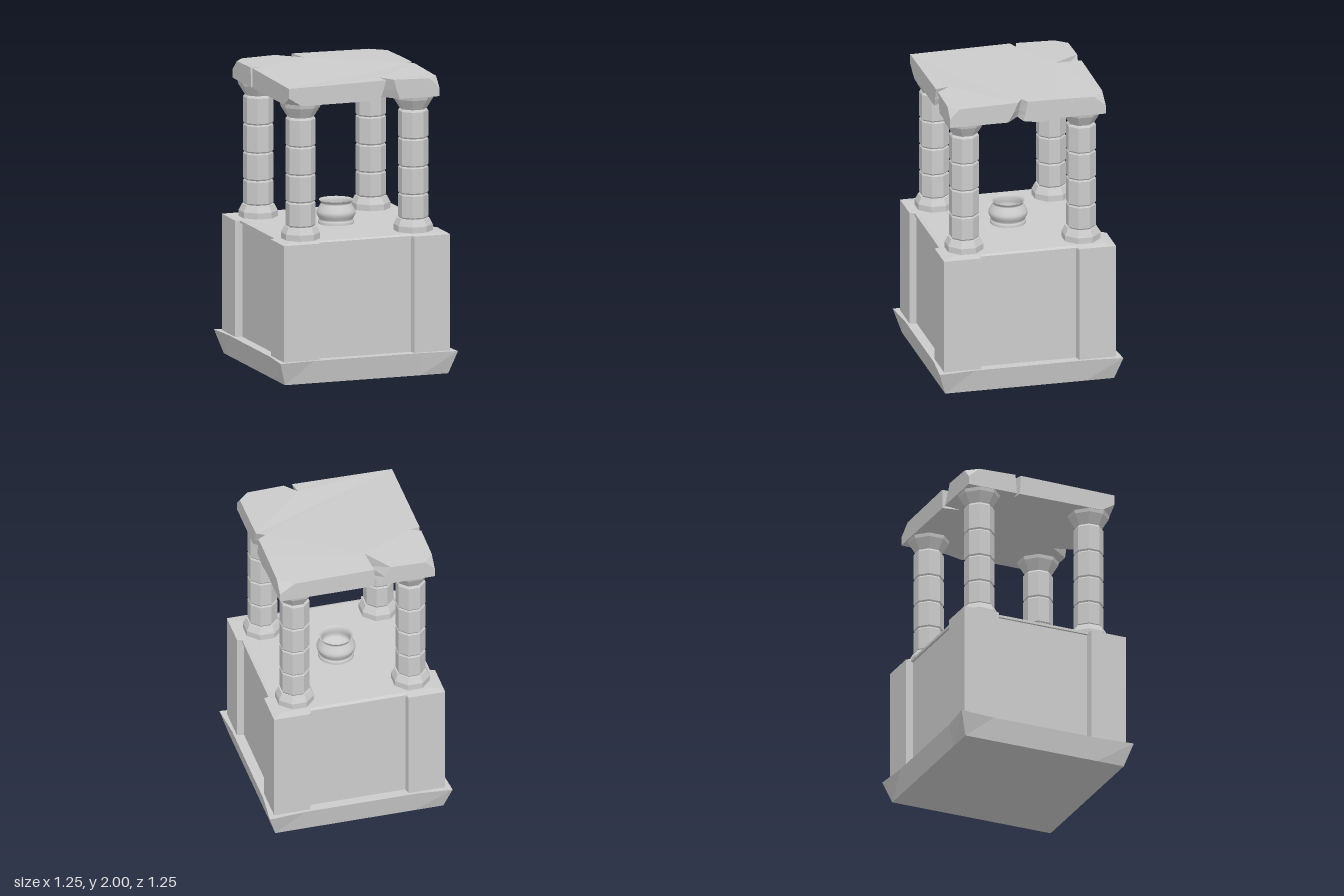
import * as THREE from 'three';

const flat = () => new THREE.MeshStandardMaterial({ color: 0xcccccc, flatShading: true });

// Closed solid through rings of [x, y, z] points, each ring running anticlockwise seen from above
function loft(rings) {
  const pos = [];
  const tri = (a, b, c) => {
    const [A, B, C] = [a, b, c].map((p) => new THREE.Vector3(...p));
    if (B.sub(A).cross(C.sub(A)).length() > 1e-8) pos.push(...a, ...b, ...c);
  };
  const n = rings[0].length;
  for (let r = 0; r + 1 < rings.length; r++) {
    const lo = rings[r], hi = rings[r + 1];
    for (let i = 0; i < n; i++) {
      const j = (i + 1) % n;
      tri(lo[i], lo[j], hi[j]);
      tri(lo[i], hi[j], hi[i]);
    }
  }
  const cap = (ring, up) => {
    const contour = ring.map(([x, , z]) => new THREE.Vector2(x, -z));
    for (const [a, b, c] of THREE.ShapeUtils.triangulateShape(contour, [])) {
      const [A, B, C] = [contour[a], contour[b], contour[c]];
      const ccw = (B.x - A.x) * (C.y - A.y) - (B.y - A.y) * (C.x - A.x) > 0;
      if (ccw === up) tri(ring[a], ring[b], ring[c]);
      else tri(ring[a], ring[c], ring[b]);
    }
  };
  cap(rings[0], false);
  cap(rings[rings.length - 1], true);
  const g = new THREE.BufferGeometry();
  g.setAttribute('position', new THREE.Float32BufferAttribute(pos, 3));
  g.computeVertexNormals();
  return g;
}

// Repeat the points of the front side round all four sides
function fourSides(side, y) {
  const ring = [];
  let pts = side;
  for (let k = 0; k < 4; k++) {
    ring.push(...pts.map(([x, z]) => [x, y, z]));
    pts = pts.map(([x, z]) => [z, -x]);
  }
  return ring;
}

function lathe(profile, sides, phi) {
  return new THREE.LatheGeometry(profile.map(([r, y]) => new THREE.Vector2(r, y)), sides, phi);
}

function roofGeometry() {
  const E = 0.53;
  // Each row: top point, bottom point, optional middle point (x, z)
  const c = [[E, E], [E, -E], [-E, -E], [-E, E]];
  const rows = [
    // front crack
    [[0.155, E], [0.11, E]], [[0.14, 0.44], [0.15, 0.4]], [[0.21, E], [0.25, E]],
    // front left corner, chipped on top
    [[0.46, E], c[0], c[0]], [[E, 0.465], c[0], c[0]],
    // left side crack and sagging lower edge
    [[E, 0.065], [E, 0.135]], [[0.475, 0.03], [0.44, 0.05]], [[E, 0], [E, 0.03]],
    [[E, -0.09], [E, -0.09]], [[E, -0.2], [E, -0.2]],
    // back left corner, chipped on top
    [[E, -0.45], c[1], c[1]], [[0.43, -E], c[1], c[1]],
    // back crack
    [[-0.115, -E], [-0.115, -E]], [[-0.1, -0.35], [-0.135, -0.41]], [[-0.23, -E], [-0.155, -E]],
    // back right corner, chipped on top
    [[-0.465, -E], c[2], c[2]], [[-E, -0.45], c[2], c[2]],
    // right side crack
    [[-E, -0.19], [-E, -0.18]], [[-0.455, -0.17], [-0.47, -0.17]], [[-E, -0.15], [-E, -0.16]],
    // front right corner, chipped below
    [c[3], [-E, 0.44], c[3]], [c[3], [-0.44, E], c[3]],
  ];
  const topY = (x, z) => 2.003 - 0.04 * (x * x + z * z);
  const bottom = rows.map(([, b]) => [b[0], b[0] === E && b[1] === -0.09 ? 1.838 : 1.858, b[1]]);
  const middle = rows.map(([t, b, m]) => {
    const p = m || [(t[0] + b[0]) / 2, (t[1] + b[1]) / 2];
    return [p[0], 1.915, p[1]];
  });
  const top = rows.map(([t]) => [t[0], topY(...t), t[1]]);
  return loft([bottom, middle, top]);
}

export function createModel() {
  const model = new THREE.Group();
  model.name = 'stoneShrine';
  const add = (name, geometry, material = flat()) => {
    const mesh = new THREE.Mesh(geometry, material);
    mesh.name = name;
    model.add(mesh);
    return mesh;
  };

  // Flared plinth with pointed corners
  const plinthSide = (corner, mid) => [[-corner, corner], [-0.38, mid], [0.38, mid]];
  add('plinth', loft([
    fourSides(plinthSide(0.575, 0.575), 0),
    fourSides(plinthSide(0.625, 0.604), 0.155),
  ]));

  // Block with corner piers, recessed panels and a small lip above them
  const H = 0.585;
  const bodySide = (d, h = H) => [[-h, h], [-0.335, h], [-0.325, d], [0.325, d], [0.335, h]];
  add('body', loft([
    fourSides(bodySide(0.538), 0.15),
    fourSides(bodySide(0.538), 0.92),
    fourSides(bodySide(0.553), 0.92),
    fourSides(bodySide(0.553), 0.937),
    fourSides(bodySide(0.53, 0.53), 0.945),
  ]));

  // Octagonal pillars: base, four drums with chamfered joints, capital
  const profile = [[0, 0.94], [0.12, 0.94], [0.12, 0.985], [0.098, 1.03]];
  const joints = [1.03, 1.195, 1.38, 1.57, 1.76];
  for (let i = 0; i < 4; i++) {
    const a = joints[i], b = joints[i + 1];
    profile.push([0.086, a], [0.0925, a + 0.01], [0.0925, b - 0.01], [0.086, b]);
  }
  profile.push([0.082, 1.765], [0.122, 1.835], [0.128, 1.862], [0, 1.862]);
  const k = 1 / Math.cos(Math.PI / 8);
  const pillar = lathe(profile.map(([r, y]) => [r * k, y]), 8, Math.PI / 8);
  for (const x of [-0.4, 0.393]) {
    for (const z of [-0.395, 0.4]) add('pillar', pillar).position.set(x, 0, z);
  }

  // Round bowl standing in the middle
  const outline = new THREE.SplineCurve([
    [0.117, 0.965], [0.113, 0.975], [0.127, 1.005], [0.127, 1.03], [0.105, 1.07], [0.1, 1.083], [0.114, 1.103],
  ].map((p) => new THREE.Vector2(...p))).getPoints(24).map((p) => [p.x, p.y]);
  add('bowl', lathe(
    [[0.12, 0.942], [0.12, 0.958], ...outline, [0.104, 1.1], [0.09, 1.08], [0.1, 1.05], [0.1, 1.01], [0, 0.99]], 32, 0,
  ), new THREE.MeshStandardMaterial({ color: 0xcccccc, side: THREE.DoubleSide }));

  // Cracked roof slab
  add('roof', roofGeometry());
  return model;
}
